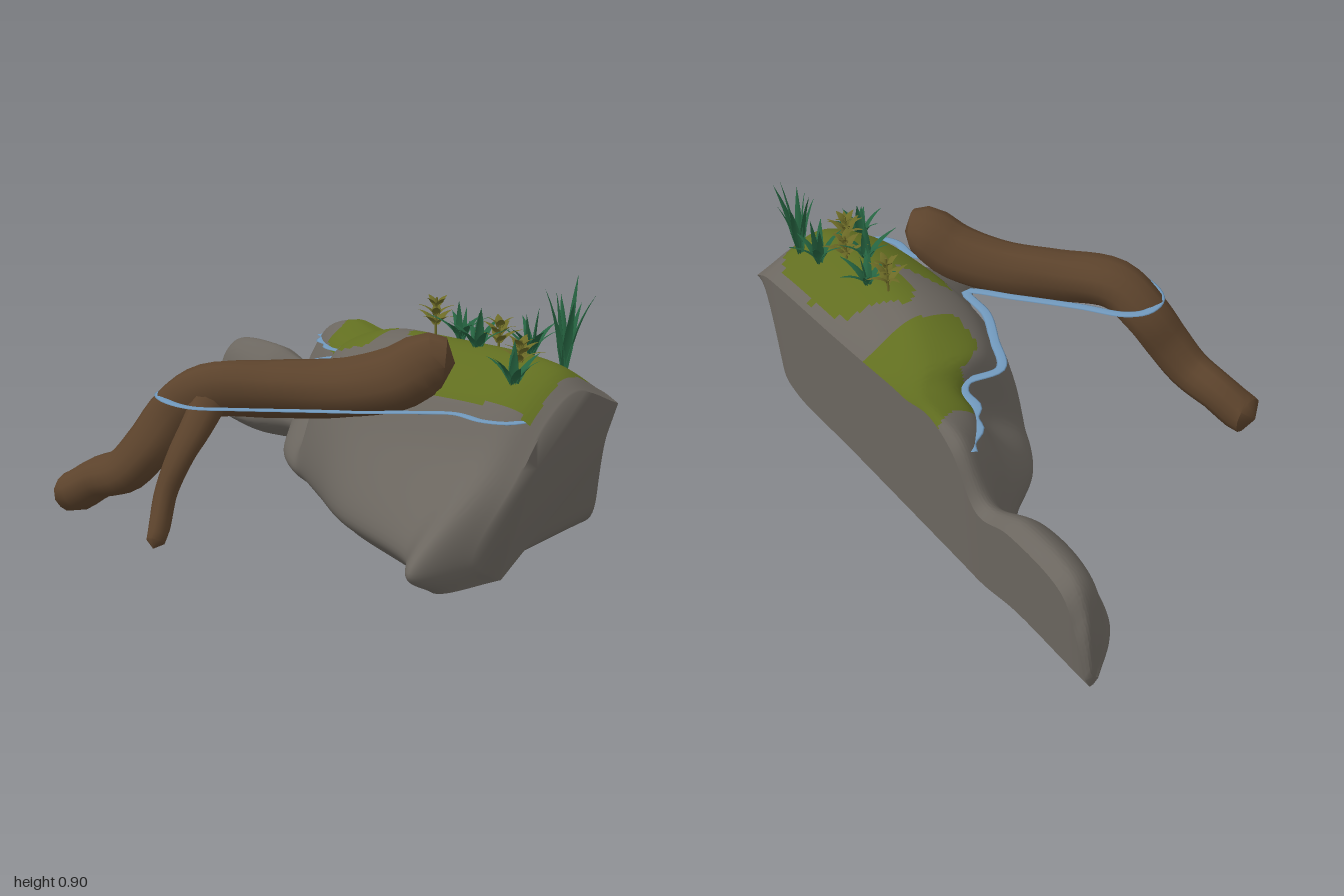
import * as THREE from 'three';
import { mergeGeometries, toCreasedNormals } from 'three/addons/utils/BufferGeometryUtils.js';

const V = (x, y, z) => new THREE.Vector3(x, y, z);
const material = (name, color, side = THREE.FrontSide) => {
  const m = new THREE.MeshStandardMaterial({ color, side });
  m.name = name;
  return m;
};
const mats = {
  stone: material('stone grey', 0x6b665f),
  moss: material('moss green', 0x616e20),
  bark: material('bark brown', 0x5c432c),
  water: material('water blue', 0x7199bd),
  grass: material('grass green', 0x256340, THREE.DoubleSide),
  herb: material('herb olive', 0x6c6a26, THREE.DoubleSide),
};
const mesh = (name, geometry, mat) => {
  const m = new THREE.Mesh(geometry, mat);
  m.name = name;
  return m;
};

// Rock sections: x, back foot y, back edge y, crown y, crown z, shoulder z, shoulder y, mid z, toe z
const sections = [
  [-1.0, 0.03, 0.07, 0.09, -0.64, -0.63, 0.08, -0.62, -0.61],
  [-0.95, 0.03, 0.22, 0.27, -0.62, -0.58, 0.22, -0.55, -0.53],
  [-0.88, 0.03, 0.34, 0.37, -0.61, -0.55, 0.33, -0.51, -0.48],
  [-0.62, 0.03, 0.37, 0.39, -0.6, -0.53, 0.34, -0.47, -0.43],
  [-0.45, 0.008, 0.33, 0.35, -0.62, -0.58, 0.32, -0.55, -0.52],
  [-0.32, 0.008, 0.5, 0.52, -0.62, -0.55, 0.46, -0.46, -0.41],
  [-0.2, 0.008, 0.56, 0.56, -0.62, -0.5, 0.5, -0.41, -0.26],
  [-0.06, 0.008, 0.54, 0.545, -0.58, -0.46, 0.5, -0.36, -0.17],
  [0.02, 0.008, 0.54, 0.57, -0.5, -0.31, 0.52, -0.2, -0.14],
  [0.2, 0.008, 0.53, 0.62, -0.45, -0.23, 0.54, -0.11, -0.05],
  [0.42, 0.008, 0.52, 0.635, -0.42, -0.19, 0.54, -0.07, 0.06],
  [0.82, 0.008, 0.51, 0.635, -0.42, -0.22, 0.55, -0.08, 0.17],
  [0.93, 0.05, 0.5, 0.61, -0.42, -0.25, 0.53, -0.09, 0.27],
  [1.0, 0.33, 0.47, 0.55, -0.42, -0.28, 0.48, -0.14, 0.04],
];

// Moss outlines seen from above, as x, z pairs
const mossOutlines = [
  [[-0.27, -0.7], [-0.21, -0.58], [-0.2, -0.49], [-0.1, -0.44], [-0.02, -0.42], [0.0, -0.36], [0.05, -0.3],
    [0.2, -0.3], [0.21, -0.7]],
  [[0.28, -0.42], [0.37, -0.49], [0.43, -0.6], [0.6, -0.63], [0.85, -0.62], [0.95, -0.56],
    [0.97, -0.23], [0.75, -0.17], [0.5, -0.15], [0.38, -0.19], [0.44, -0.26], [0.55, -0.33], [0.35, -0.36]],
];
const inside = (x, z, outline) => outline.reduce((hit, [ax, az], i) => {
  const [bx, bz] = outline[(i + 1) % outline.length];
  return (az > z) !== (bz > z) && x < ((bx - ax) * (z - az)) / (bz - az) + ax ? !hit : hit;
}, false);

function sectionPoints([x, yFoot, yBack, yTop, zTop, zShoulder, yShoulder, zMid, zToe]) {
  const base = x < -0.5 ? 0.03 : 0.008;
  const undercut = x > 0.9 ? 0.12 : 0.085;
  return [
    V(x, yFoot, -0.65 + 0.2 * yFoot), V(x, yBack, -0.66), V(x, yTop, zTop), V(x, yShoulder, zShoulder),
    V(x, yTop * 0.58, zMid), V(x, Math.min(0.1, yTop * 0.55), zToe), V(x, base, Math.max(zToe - undercut, -0.63)),
  ];
}

function buildRock() {
  const columns = 168, rows = 60;
  const rails = sections.map(sectionPoints);
  const railCurves = rails[0].map((_, k) => new THREE.CatmullRomCurve3(rails.map((r) => r[k])));
  const points = [];
  for (let i = 0; i <= columns; i++) {
    const [bottom, ...upper] = railCurves.map((c) => c.getPoint(i / columns));
    points.push(bottom, ...new THREE.CatmullRomCurve3(upper).getPoints(rows - 2));
  }
  const stone = [], moss = [];
  for (let i = 0; i < columns; i++) {
    for (let j = 0; j < rows; j++) {
      const a = i * rows + j, b = i * rows + (j + 1) % rows, c = a + rows, d = b + rows;
      const mid = points[a].clone().add(points[d]).multiplyScalar(0.5);
      const mossy = j > 0 && mid.y > 0.45 && mossOutlines.some((o) => inside(mid.x, mid.z, o));
      (mossy ? moss : stone).push(a, b, c, b, d, c);
    }
  }
  // Flat ends
  for (const first of [0, columns * rows]) {
    const centre = points.length;
    points.push(points.slice(first, first + rows).reduce((s, p) => s.add(p), V(0, 0, 0)).divideScalar(rows));
    for (let j = 0; j < rows; j++) {
      const a = first + j, b = first + (j + 1) % rows;
      stone.push(centre, ...(first ? [a, b] : [b, a]));
    }
  }
  const g = new THREE.BufferGeometry().setFromPoints(points);
  g.setIndex([...stone, ...moss]);
  g.addGroup(0, stone.length, 0);
  g.addGroup(stone.length, moss.length, 1);
  return mesh('mossyRock', toCreasedNormals(g, 0.9), [mats.stone, mats.moss]);
}

// Knobbly tapering limb; each knot is x, y, z, radius
function limb(name, knots, steps) {
  const sides = 12;
  const curve = new THREE.CatmullRomCurve3(knots.map(([x, y, z]) => V(x, y, z)));
  const g = new THREE.TubeGeometry(curve, steps, 1, sides);
  const pos = g.attributes.position, v = V(0, 0, 0);
  for (let i = 0; i <= steps; i++) {
    const centre = curve.getPointAt(i / steps);
    const t = curve.getUtoTmapping(i / steps) * (knots.length - 1);
    const k = Math.min(Math.floor(t), knots.length - 2);
    const radius = i % steps === 0 ? 0 : THREE.MathUtils.lerp(knots[k][3], knots[k + 1][3], t - k);
    for (let j = 0; j <= sides; j++) {
      const n = i * (sides + 1) + j;
      const knob = 1 + 0.06 * Math.sin((j / sides) * Math.PI * 6 + i * 0.25);
      v.fromBufferAttribute(pos, n).sub(centre).multiplyScalar(radius * knob).add(centre);
      pos.setXYZ(n, v.x, v.y, v.z);
    }
  }
  return mesh(name, toCreasedNormals(g, 0.8), mats.bark);
}

// Curved, pointed blade growing up from the origin and leaning to +z
function blade(length, width, lean, turn) {
  const g = new THREE.PlaneGeometry(width, 1, 2, 6).translate(0, 0.5, 0);
  const pos = g.attributes.position;
  for (let i = 0; i < pos.count; i++) {
    const t = pos.getY(i), x = pos.getX(i);
    const taper = Math.min(1, 0.55 + t * 1.4) * (1 - t ** 2.2);
    pos.setXYZ(i, x * taper, length * (t - 0.35 * lean * t * t),
      length * lean * (0.25 * t + 0.75 * t * t) + Math.abs(x) * taper * 0.5);
  }
  g.computeVertexNormals();
  return g.rotateY(turn);
}

// Two upright blades inside a ring of arching ones
function grassTuft([x, y, z, height, lean], index) {
  const blades = [blade(height, 0.036, 0.12, index), blade(height * 0.85, 0.036, 0.15, index + 2.8)];
  for (let i = 0; i < 6; i++) {
    blades.push(blade(height * (0.75 + 0.07 * (i % 3)), 0.034, lean * (0.85 + 0.15 * (i % 2)), i * 1.047 + index));
  }
  const m = mesh('grassTuft', mergeGeometries(blades), mats.grass);
  m.position.set(x, y, z);
  return m;
}

// Thin stem with three whorls of leaves
function herb([x, y, z, height], index) {
  const parts = [new THREE.CylinderGeometry(0.004, 0.005, height * 0.9, 5).translate(0, height * 0.45, 0)];
  for (let tier = 0; tier < 3; tier++) {
    for (let i = 0; i < 4; i++) {
      parts.push(blade(0.072 - tier * 0.01, 0.034, 1.2 - tier * 0.15, i * 1.571 + tier * 0.7 + index)
        .translate(0, height * (0.3 + 0.2 * tier), 0));
    }
  }
  const m = mesh('leafyHerb', mergeGeometries(parts), mats.herb);
  m.position.set(x, y, z);
  return m;
}

export function createModel() {
  const model = new THREE.Group();
  model.name = 'rockWithDriftwood';
  model.add(buildRock());

  // Driftwood
  model.add(limb('driftwoodTrunk', [
    [0.7, 0.63, -0.18, 0.065], [0.64, 0.63, -0.125, 0.1], [0.56, 0.57, -0.06, 0.106], [0.42, 0.53, 0.055, 0.1],
    [0.25, 0.522, 0.195, 0.096], [0.08, 0.508, 0.33, 0.094], [-0.03, 0.42, 0.385, 0.088], [-0.09, 0.3, 0.45, 0.084],
    [-0.17, 0.2, 0.5, 0.08], [-0.29, 0.15, 0.535, 0.074], [-0.38, 0.09, 0.575, 0.076], [-0.44, 0.08, 0.59, 0.068],
  ], 44));
  model.add(limb('driftwoodSideBranch', [
    [0.11, 0.5, 0.34, 0.06], [0.12, 0.4, 0.42, 0.052], [0.11, 0.31, 0.48, 0.045],
    [0.095, 0.2, 0.53, 0.038], [0.12, 0.1, 0.58, 0.036], [0.14, 0.04, 0.62, 0.028],
  ], 22));

  // Waterline following rock and driftwood
  const line = [
    [-0.35, -0.6], [-0.31, -0.58], [-0.27, -0.52], [-0.21, -0.5], [-0.17, -0.46], [-0.08, -0.45], [-0.04, -0.41],
    [-0.05, -0.28], [0.1, -0.2], [0.25, -0.13], [0.41, -0.105], [0.27, 0.015], [0.08, 0.165], [-0.06, 0.265],
    [-0.095, 0.34], [-0.065, 0.425], [0.02, 0.465], [0.14, 0.455], [0.25, 0.36], [0.4, 0.215], [0.55, 0.07],
    [0.66, -0.05], [0.75, -0.13], [0.86, -0.13], [0.93, -0.17], [0.95, -0.22],
  ].map(([x, z]) => V(x, 0, z));
  const waterline = mesh('waterline',
    new THREE.TubeGeometry(new THREE.CatmullRomCurve3(line), 150, 0.018, 8), mats.water);
  waterline.scale.y = 0.15;
  waterline.position.y = 0.482;
  model.add(waterline);

  // Plants: x, y, z, height and, for grass, lean
  const tufts = [
    [0.48, 0.62, -0.47, 0.15, 0.95], [0.62, 0.62, -0.39, 0.16, 0.9], [0.74, 0.6, -0.52, 0.18, 0.8],
    [0.87, 0.57, -0.53, 0.34, 0.3], [0.86, 0.56, -0.28, 0.16, 0.75],
  ];
  const herbs = [[0.39, 0.62, -0.44, 0.16], [0.66, 0.61, -0.45, 0.13], [0.82, 0.59, -0.36, 0.12]];
  model.add(...tufts.map(grassTuft), ...herbs.map(herb));
  return model;
}
